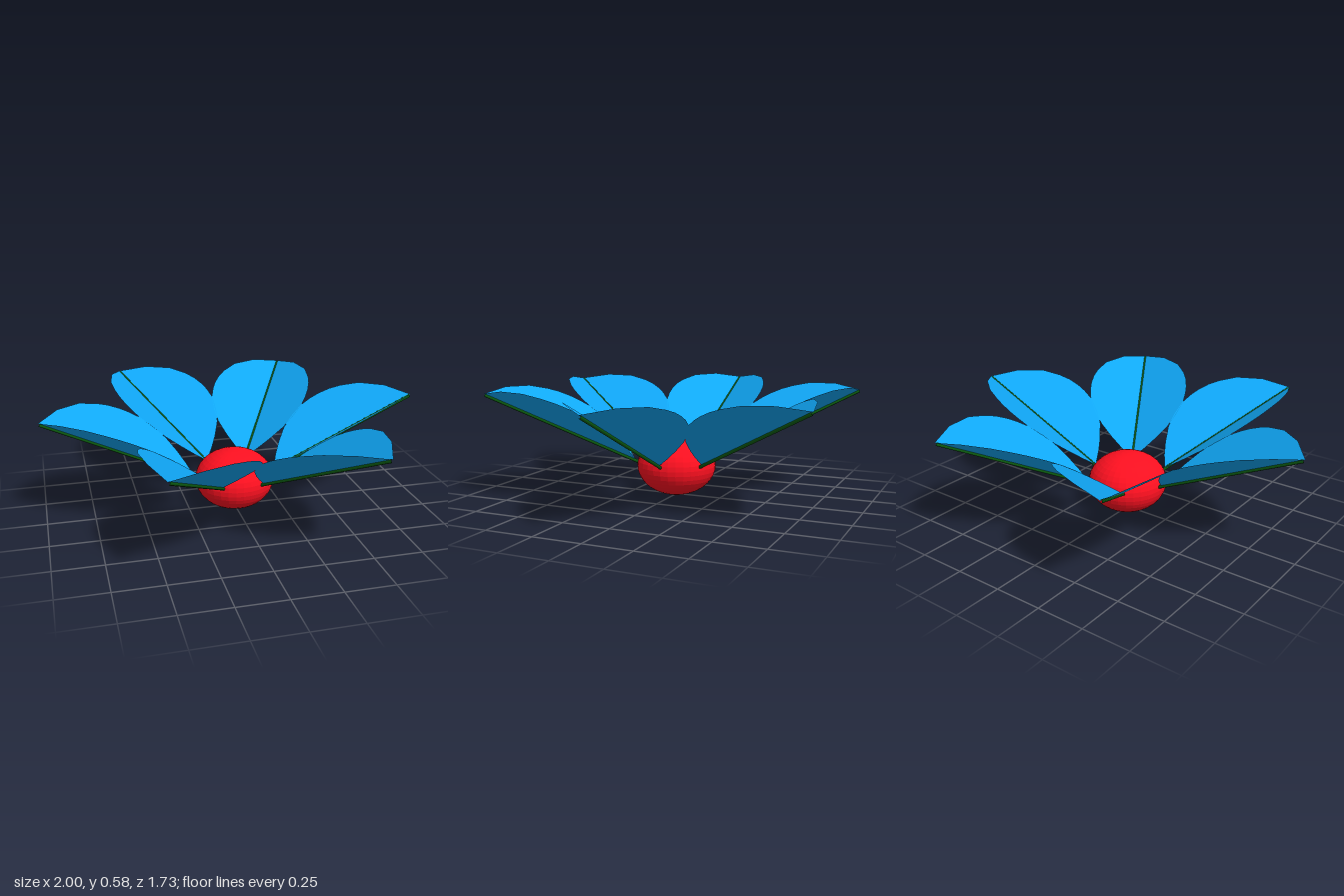
import * as THREE from 'three';

const FOLD = 0.55; // rise of each petal half away from its midrib
const spineY = (u) => 0.185 + (u - 0.205) * (0.368 / 0.795);

// Half outline of a petal seen from above: distance along the midrib, half width
const OUTLINE = [
  [0.22, 0], [0.25, 0.065], [0.285, 0.124], [0.335, 0.19], [0.39, 0.232], [0.46, 0.268],
  [0.52, 0.279], [0.57, 0.281], [0.63, 0.275], [0.69, 0.259], [0.784, 0.219], [0.9, 0.127], [1, 0],
];

// Petal folded into a shallow V, two flat halves meeting at the midrib
function petalGeometry() {
  const pos = [];
  const point = (u, v) => [u, spineY(u) + Math.abs(v) * FOLD, v];
  for (const s of [1, -1]) {
    for (let i = 0; i < OUTLINE.length - 1; i++) {
      const [u0, v0] = OUTLINE[i];
      const [u1, v1] = OUTLINE[i + 1];
      const a = point(u0, 0), b = point(u1, 0), c = point(u1, v1 * s), d = point(u0, v0 * s);
      const tris = [];
      if (v0 > 0) tris.push([a, d, c]);
      if (v1 > 0) tris.push([a, c, b]);
      for (const [p, q, r] of tris) pos.push(...p, ...(s > 0 ? [...q, ...r] : [...r, ...q]));
    }
  }
  const geo = new THREE.BufferGeometry();
  geo.setAttribute('position', new THREE.Float32BufferAttribute(pos, 3));
  geo.computeVertexNormals();
  return geo;
}

export function createModel() {
  const group = new THREE.Group();
  const petalMat = new THREE.MeshStandardMaterial({ color: 0x10a8f8, side: THREE.DoubleSide, flatShading: true });
  const ribMat = new THREE.MeshStandardMaterial({ color: 0x0b5a10 });
  const centreMat = new THREE.MeshStandardMaterial({ color: 0xff1020, flatShading: true });

  // Flattened ball in the middle
  const centre = new THREE.Mesh(new THREE.SphereGeometry(0.21, 32, 20), centreMat);
  centre.name = 'flowerCentre';
  centre.scale.y = 0.16 / 0.21;
  centre.position.y = 0.16;
  group.add(centre);

  // Thin round rib under each petal, starting at the ball
  const petalGeo = petalGeometry();
  const ribPath = new THREE.LineCurve3(
    new THREE.Vector3(0.2, spineY(0.2) - 0.005, 0),
    new THREE.Vector3(0.995, spineY(0.995) - 0.005, 0),
  );
  const ribGeo = new THREE.TubeGeometry(ribPath, 1, 0.009, 8);

  // Six petals in a ring
  for (let i = 0; i < 6; i++) {
    const unit = new THREE.Group();
    unit.name = `petalWithRib${i + 1}`;
    const petal = new THREE.Mesh(petalGeo, petalMat);
    petal.name = 'petal';
    const rib = new THREE.Mesh(ribGeo, ribMat);
    rib.name = 'midrib';
    unit.add(petal, rib);
    unit.rotation.y = (i * Math.PI) / 3;
    group.add(unit);
  }
  return group;
}
